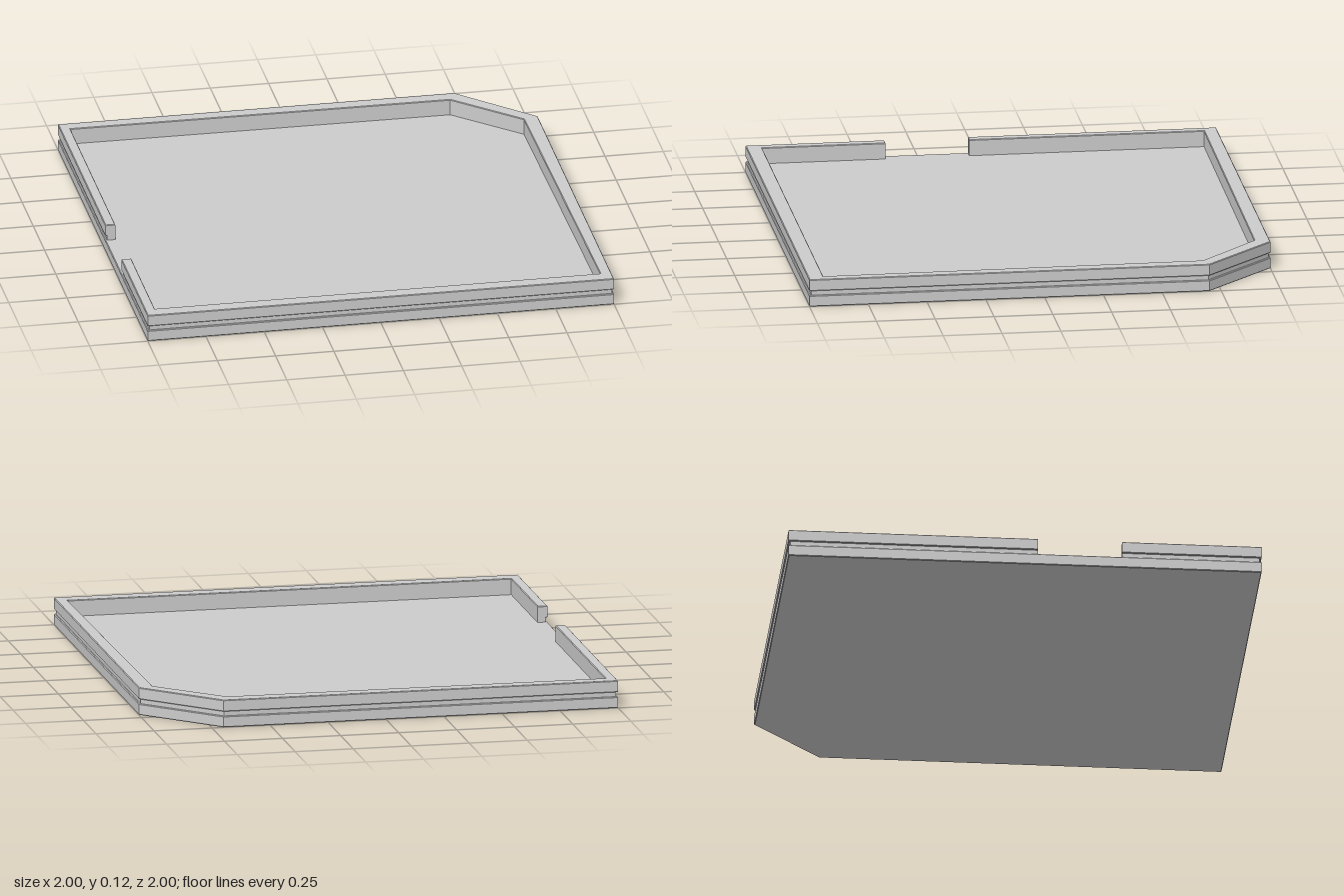
import * as THREE from 'three';

const BASE_TOP = 0.048, GROOVE_TOP = 0.068, HEIGHT = 0.118;
const OPENING = [0.055, 0.41]; // z range of the gap in the wall
const BEVEL = 0.003;

const material = new THREE.MeshStandardMaterial({ color: 0xcccccc, flatShading: true });

// Horizontal slab from [x, z] corners, between two heights, with an optional small bevel
function slab(name, corners, y0, y1, bevel = 0) {
  const shape = new THREE.Shape(corners.map(([x, z]) => new THREE.Vector2(x, -z)));
  const geometry = new THREE.ExtrudeGeometry(shape, {
    depth: y1 - y0 - 2 * bevel,
    bevelEnabled: bevel > 0,
    bevelThickness: bevel,
    bevelSize: bevel,
    bevelOffset: -bevel,
    bevelSegments: 1,
  });
  geometry.rotateX(-Math.PI / 2).translate(0, y0 + bevel, 0);
  const mesh = new THREE.Mesh(geometry, material);
  mesh.name = name;
  return mesh;
}

// Outer outline with one cut corner, moved inwards by d
function outline(d) {
  const e = 1 - d, c = 0.7 - 0.414 * d;
  return [[-e, -e], [c, -e], [e, -c], [e, e], [-e, e]];
}

// Wall outline: open ring running from one side of the gap to the other
function wall(d) {
  const [a, b] = OPENING, e = 1 - d;
  return [
    [-e, a], ...outline(d), [-e, b],
    [-0.957, b], [-0.957, 0.935], [0.953, 0.935], [0.937, -0.68],
    [0.67, -0.935], [-0.957, -0.943], [-0.957, a],
  ];
}

export function createModel() {
  const group = new THREE.Group();
  group.name = 'tray';
  group.add(
    slab('floorPlate', outline(0), 0, BASE_TOP, BEVEL),
    // Recessed band that forms the groove around the outside
    slab('grooveBand', wall(0.008), BASE_TOP - 0.001, GROOVE_TOP + BEVEL),
    slab('rimWall', wall(0), GROOVE_TOP, HEIGHT, BEVEL),
  );
  return group;
}
